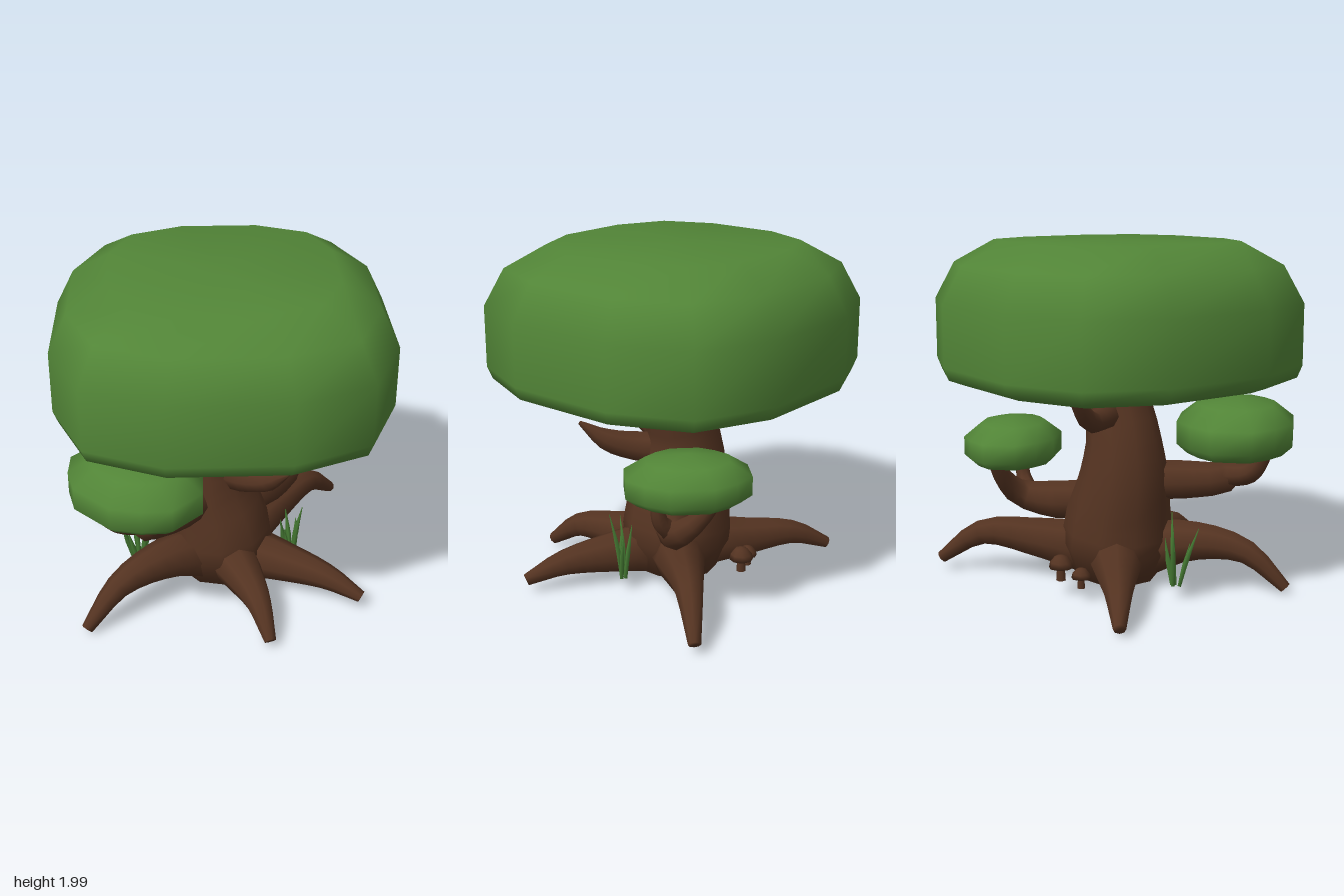
import * as THREE from 'three';
import { mergeVertices } from 'three/addons/utils/BufferGeometryUtils.js';

const mat = (name, color) => Object.assign(new THREE.MeshStandardMaterial({ color }), { name });
const V = (p) => new THREE.Vector3(...p);

// Weld a geometry so it shades smoothly
function smooth(geo) {
  geo.deleteAttribute('uv');
  geo.deleteAttribute('normal');
  const g = mergeVertices(geo, 1e-4);
  g.computeVertexNormals();
  return g;
}

// Closed tapering tube; each point is [x, y, z, radius]
function limb(name, pts, material, sides = 8, segs = 10) {
  const curve = new THREE.CatmullRomCurve3(pts.map((p) => V(p.slice(0, 3))));
  const geo = new THREE.TubeGeometry(curve, segs, 1, sides);
  const pos = geo.attributes.position, v = new THREE.Vector3();
  for (let i = 0; i <= segs; i++) {
    const centre = curve.getPointAt(i / segs);
    // the outermost rings collapse onto their neighbours to close the ends
    const end = i === 0 || i === segs;
    const ring = i === 1 ? 0 : i === segs - 1 ? segs : i;
    const target = curve.getPointAt(ring / segs);
    const t = curve.getUtoTmapping(ring / segs) * (pts.length - 1);
    const k = Math.min(Math.floor(t), pts.length - 2);
    const r = end ? 0 : THREE.MathUtils.lerp(pts[k][3], pts[k + 1][3], t - k);
    for (let j = 0; j <= sides; j++) {
      const n = i * (sides + 1) + j;
      v.fromBufferAttribute(pos, n).sub(centre).multiplyScalar(r).add(target);
      pos.setXYZ(n, v.x, v.y, v.z);
    }
  }
  const mesh = new THREE.Mesh(smooth(geo), material);
  mesh.name = name;
  return mesh;
}

// Rounded pad lofted from [scale, y] rings, bottom to top; rx and rz are its half widths
function foliage(name, rx, rz, corner, rings, material) {
  const quarter = [[1, 0.35], [corner, corner], [0.35, 1]];
  const outline = [];
  for (let q = 0; q < 4; q++) {
    for (const [a, b] of quarter) {
      outline.push([[a, b], [-b, a], [-a, -b], [b, -a]][q]);
    }
  }
  const n = outline.length, pos = [], idx = [];
  for (const [s, y] of rings) for (const [a, b] of outline) pos.push(a * s * rx, y, b * s * rz);
  for (let i = 0; i < rings.length - 1; i++) {
    for (let j = 0; j < n; j++) {
      const a = i * n + j, b = i * n + (j + 1) % n;
      idx.push(a, a + n, b, b, a + n, b + n);
    }
  }
  const geo = new THREE.BufferGeometry();
  geo.setAttribute('position', new THREE.Float32BufferAttribute(pos, 3));
  geo.setIndex(idx);
  const g = mergeVertices(geo, 1e-4);
  g.computeVertexNormals();
  const mesh = new THREE.Mesh(g, material);
  mesh.name = name;
  return mesh;
}

export function createModel() {
  const bark = mat('bark brown', 0x543321);
  const leaf = mat('leaf green', 0x528537);
  const blade = mat('grass green', 0x477d34);
  const tree = new THREE.Group();
  tree.name = 'tree';

  // Trunk
  tree.add(limb('trunk', [
    [0, 0.05, 0, 0.25], [-0.01, 0.18, 0, 0.33], [-0.03, 0.38, 0, 0.315], [-0.08, 0.62, 0, 0.265],
    [-0.08, 0.85, 0, 0.22], [-0.03, 1.05, 0, 0.195], [0, 1.3, 0, 0.165],
  ], bark, 10, 14));

  // Roots: tip x, y, z, arch height near the trunk, arch height at the knee
  const roots = [
    [0.8, 0.09, 0.45, 0.18, 0.16], [0.24, 0.06, 0.79, 0.2, 0.19], [-0.8, 0.04, 0.62, 0.27, 0.24],
    [-0.81, 0.06, -0.56, 0.17, 0.16], [0.75, 0.08, -0.76, 0.23, 0.25],
  ];
  const rootGroup = new THREE.Group();
  rootGroup.name = 'roots';
  for (const [x, y, z, h, knee] of roots) {
    rootGroup.add(limb('root', [
      [x * 0.12, 0.18, z * 0.12, 0.17], [x * 0.42, h, z * 0.42, 0.125],
      [x * 0.76, knee, z * 0.76, 0.075], [x, y, z, 0.035],
    ], bark));
  }
  tree.add(rootGroup);

  // Branches
  const branches = {
    frontBranch: [[-0.02, 0.77, 0.02, 0.1], [0.1, 0.78, 0.18, 0.095], [0.24, 0.83, 0.31, 0.07], [0.35, 0.94, 0.43, 0.012]],
    backBranch: [[-0.05, 1.02, -0.06, 0.08], [-0.18, 1.03, -0.22, 0.07], [-0.26, 1.04, -0.36, 0.06], [-0.34, 1.26, -0.55, 0.025]],
    rightBranch: [[0.1, 0.48, -0.06, 0.12], [0.3, 0.46, -0.24, 0.115], [0.43, 0.49, -0.38, 0.085], [0.41, 0.6, -0.51, 0.055], [0.36, 0.78, -0.63, 0.035]],
    rightTwig: [[0.43, 0.49, -0.33, 0.06], [0.51, 0.58, -0.32, 0.045], [0.53, 0.78, -0.31, 0.03]],
    leftBranch: [[-0.1, 0.62, 0.08, 0.12], [-0.28, 0.62, 0.3, 0.115], [-0.45, 0.65, 0.48, 0.09], [-0.41, 0.72, 0.6, 0.06], [-0.35, 0.87, 0.7, 0.035]],
    leftTwig: [[-0.42, 0.66, 0.45, 0.075], [-0.61, 0.7, 0.51, 0.06], [-0.71, 0.86, 0.55, 0.04]],
  };
  for (const [name, pts] of Object.entries(branches)) tree.add(limb(name, pts, bark));

  // Foliage: the small pads are narrower along their branches
  tree.add(foliage('mainCanopy', 0.935, 0.935, 0.805, [
    [0, 1.21], [0.89, 1.21], [0.973, 1.24], [1, 1.31], [1, 1.66], [0.89, 1.87], [0.665, 2], [0, 2],
  ], leaf));
  const profile = [[0, 0], [0.82, 0], [1, 0.18], [1, 0.58], [0.66, 0.87], [0, 1]];
  for (const [name, x, z, across, along, y, h] of [
    ['leftCanopy', -0.495, 0.49, 0.4, 0.325, 0.81, 0.32],
    ['rightCanopy', 0.42, -0.44, 0.34, 0.265, 0.71, 0.265],
  ]) {
    const pad = foliage(name, across, along, 0.72, profile.map(([s, t]) => [s, y + t * h]), leaf);
    pad.position.set(x, 0, z);
    pad.rotation.y = -Math.PI / 4;
    tree.add(pad);
  }

  // Grass tufts: base offset x, z then tip offset x, z and height
  const blades = [
    [0.01, 0, 0.09, 0.04, 0.4], [-0.02, 0.01, -0.1, 0.08, 0.34], [0, -0.02, -0.04, -0.05, 0.33],
    [0.02, -0.01, 0.05, -0.04, 0.27], [-0.01, 0.02, -0.06, 0.05, 0.25],
  ];
  for (const [name, x, z, s] of [['leftGrass', -0.51, 0.05, 1], ['rightGrass', 0.41, 0.05, 0.7]]) {
    const tuft = new THREE.Group();
    tuft.name = name;
    for (const [bx, bz, tx, tz, h] of blades) {
      tuft.add(limb('grassBlade', [
        [x + bx, 0.09, z + bz, 0.014],
        [x + (bx * 1.3 + tx * 0.35) * s, 0.09 + h * 0.5, z + bz + tz * 0.3, 0.017],
        [x + tx * s, 0.09 + h, z + tz, 0.002],
      ], blade, 4, 6));
    }
    tree.add(tuft);
  }

  // Mushrooms at the back of the trunk
  const stemGeo = new THREE.CylinderGeometry(0.022, 0.028, 0.09, 7);
  const capGeo = smooth(new THREE.LatheGeometry(
    [[0, -0.01], [0.07, -0.015], [0.062, 0.018], [0.035, 0.05], [0, 0.06]].map((p) => new THREE.Vector2(...p)), 8));
  for (const [x, y, z, s] of [[-0.08, 0.19, -0.44, 1], [-0.21, 0.15, -0.39, 0.8]]) {
    const mushroom = new THREE.Group();
    mushroom.name = 'mushroom';
    const stem = new THREE.Mesh(stemGeo, bark), cap = new THREE.Mesh(capGeo, bark);
    stem.name = 'mushroomStem';
    cap.name = 'mushroomCap';
    stem.position.y = -0.045;
    mushroom.add(stem, cap);
    mushroom.position.set(x, y, z);
    mushroom.scale.setScalar(s);
    tree.add(mushroom);
  }
  return tree;
}
